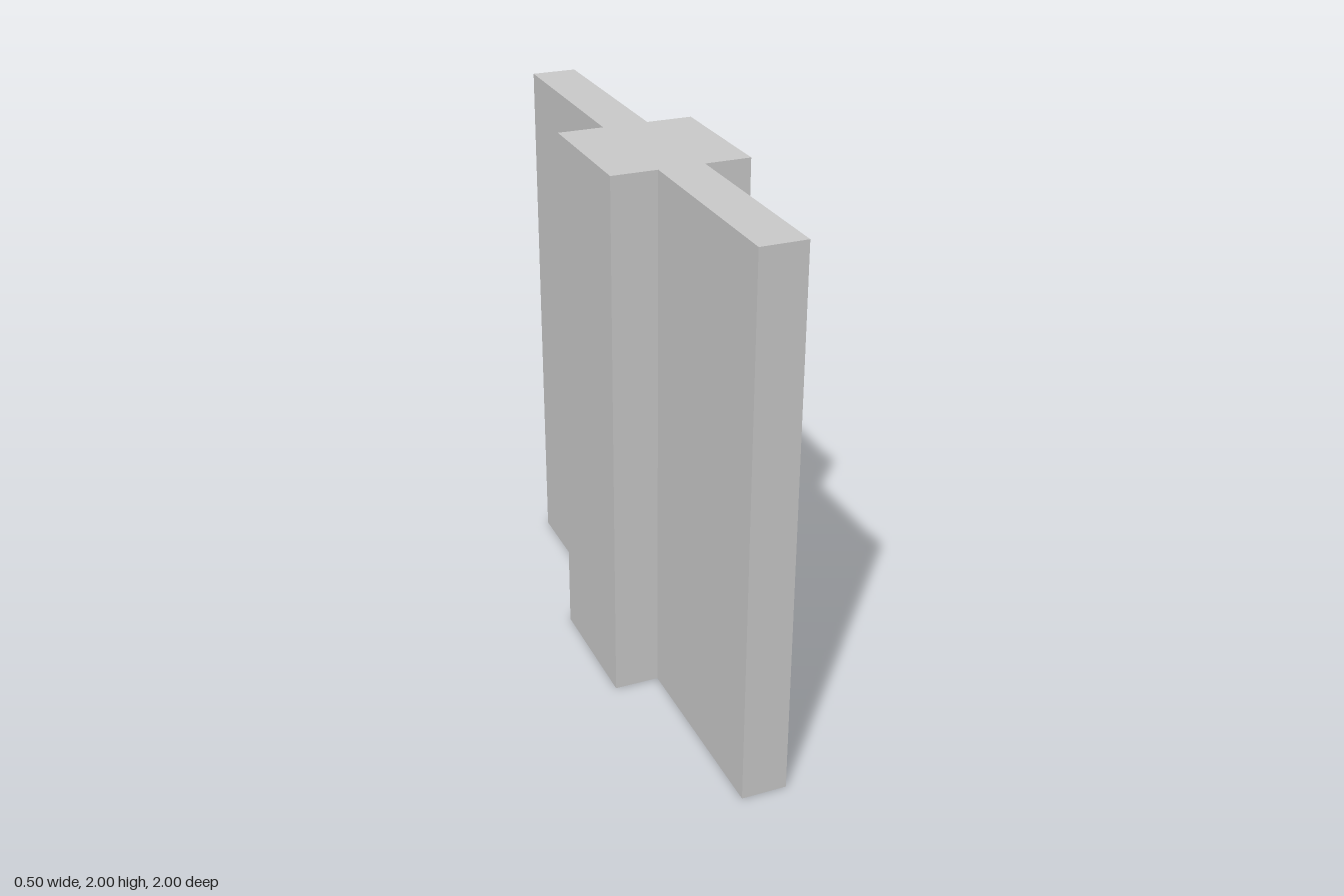
import * as THREE from 'three';

const HEIGHT = 2;
const POST = 0.25;   // half width of the square post
const WALL = 0.083;  // half thickness of the wall
const REACH = 1;     // half length of the wall

export function createModel() {
  const group = new THREE.Group();
  group.name = 'wallWithPost';

  // Plan outline: one side of the wall and post, then the same turned half round
  const side = [[WALL, -REACH], [WALL, -POST], [POST, -POST], [POST, POST], [WALL, POST], [WALL, REACH]];
  const outline = [...side, ...side.map(([x, y]) => [-x, -y])];
  const plan = new THREE.Shape(outline.map(([x, y]) => new THREE.Vector2(x, y)));

  // Raise the plan to full height
  const geometry = new THREE.ExtrudeGeometry(plan, { depth: HEIGHT, bevelEnabled: false });
  geometry.rotateX(-Math.PI / 2);

  const wall = new THREE.Mesh(geometry, new THREE.MeshStandardMaterial({ color: 0xcccccc }));
  wall.name = 'wallAndPost';
  group.add(wall);
  return group;
}
